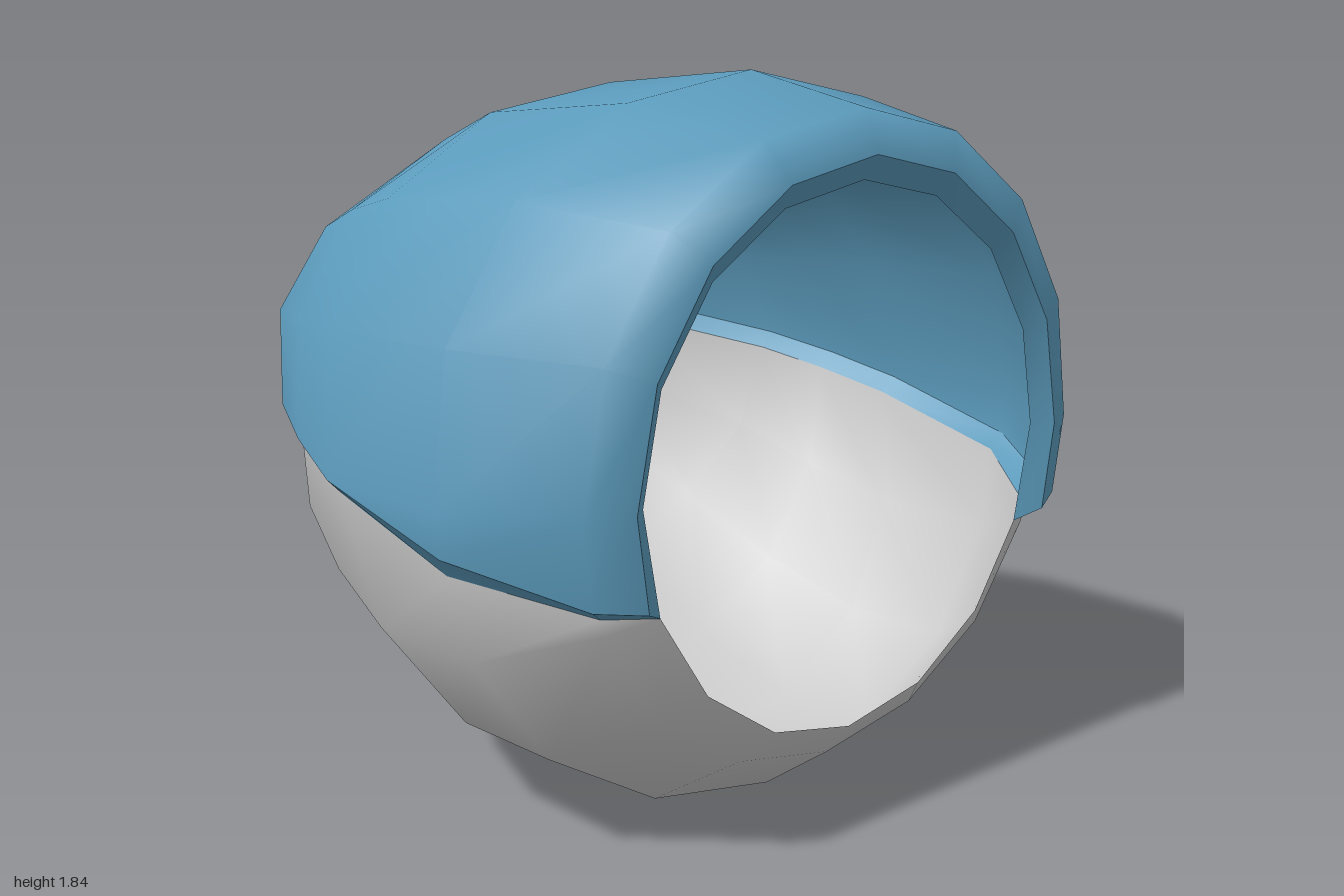
import * as THREE from 'three';
import { mergeVertices, toCreasedNormals } from 'three/addons/utils/BufferGeometryUtils.js';

// Rings from the front opening to the back pole:
// [end z, end y, centre z, centre y, half width, seam angle, bulge]
const COVER = [
  [0.92, 1.66, 0.92, 0.93, 0.72, 108, 0],
  [0.88, 1.765, 0.87, 0.93, 0.83, 104.6, 0.01],
  [0.5, 1.845, 0.55, 0.9, 0.99, 96, 0.03],
  [-0.04, 1.805, 0.12, 0.9, 1, 90, 0.03],
  [-0.28, 1.715, -0.1, 0.954, 0.95, 90, 0.03],
  [-0.51, 1.605, -0.3, 1.0, 0.88, 90, 0.03],
  [-0.7, 1.47, -0.65, 1.086, 0.63, 90, 0.03],
  [-0.86, 1.335, -0.83, 1.13, 0.35, 90, 0.02],
  [-0.91, 1.145, -0.91, 1.145, 0, 90, 0],
];
const BOWL = [
  [0.88, 0.26, 0.88, 0.93, 0.67, 112.5, 0],
  [0.81, 0.17, 0.83, 0.93, 0.78, 109, 0.01],
  [0.6, 0.015, 0.53, 0.87, 0.95, 97.7, 0.03],
  [0.3, 0.003, 0.11, 0.858, 0.955, 90, 0.03],
  [-0.07, 0.11, -0.1, 0.91, 0.905, 90, 0.03],
  [-0.42, 0.3, -0.29, 0.956, 0.835, 90, 0.03],
  [-0.7, 0.53, -0.63, 1.039, 0.59, 90, 0.03],
  [-0.9, 0.82, -0.81, 1.083, 0.32, 90, 0.02],
  [-0.89, 1.11, -0.89, 1.11, 0, 90, 0],
];

// Point on a ring; angle 0 is the top, 180 the bottom
function ringPoint([ez, ey, cz, cy, w, , bulge], degrees, side) {
  const a = THREE.MathUtils.degToRad(degrees);
  const c = Math.cos(a) * side;
  const x = w * (Math.sin(a) + side * bulge * Math.sin(2 * a));
  return [x, cy + (ey - cy) * c, cz + (ez - cz) * c];
}

// Surface through equally long rows of points
function gridGeometry(rows) {
  const n = rows[0].length;
  const index = [];
  for (let i = 0; i < rows.length - 1; i++) {
    for (let j = 0; j < n - 1; j++) {
      const a = i * n + j;
      index.push(a, a + 1, a + n, a + 1, a + n + 1, a + n);
    }
  }
  const geometry = new THREE.BufferGeometry();
  geometry.setAttribute('position', new THREE.Float32BufferAttribute(rows.flat(2), 3));
  geometry.setIndex(index);
  return geometry;
}

function smooth(geometry) {
  const merged = mergeVertices(geometry, 1e-4);
  merged.computeVertexNormals();
  return merged;
}

// Angles across a part, with the seam angle at both ends
function angles(from, first, last, to) {
  const list = [from];
  for (let a = first; a <= last; a += 22.5) list.push(a);
  return [...list, to];
}

export function createModel() {
  const group = new THREE.Group();
  const blue = new THREE.MeshStandardMaterial({ color: 0x5b9abb, side: THREE.DoubleSide });
  const grey = new THREE.MeshStandardMaterial({ color: 0xcccccc, side: THREE.DoubleSide });
  const add = (name, geometry, material) => {
    const mesh = new THREE.Mesh(geometry, material);
    mesh.name = name;
    group.add(mesh);
  };

  // Upper cover
  const cover = COVER.map((r) => angles(-r[5], -90, 90, r[5]).map((a) => ringPoint(r, a, 1)));
  add('upperCover', smooth(gridGeometry(cover)), blue);

  // Lower bowl
  const bowl = BOWL.map((r) => angles(r[5], 112.5, 247.5, 360 - r[5]).map((a) => ringPoint(r, a, -1)));
  add('lowerBowl', smooth(gridGeometry(bowl)), grey);

  // Rim: around the opening, back along one seam and forward along the other
  const outer = [...cover[0]];
  const inner = angles(-112.5, -90, 90, 112.5).map((a) => ringPoint(BOWL[0], a, -1));
  const last = COVER.length - 1;
  for (let i = 1; i <= last; i++) {
    outer.push(cover[i].at(-1));
    inner.push(bowl[i][0]);
  }
  for (let i = last - 1; i >= 0; i--) {
    outer.push(cover[i][0]);
    inner.push(bowl[i].at(-1));
  }
  add('coverRim', toCreasedNormals(gridGeometry([inner, outer]), 0.7), blue);

  return group;
}
